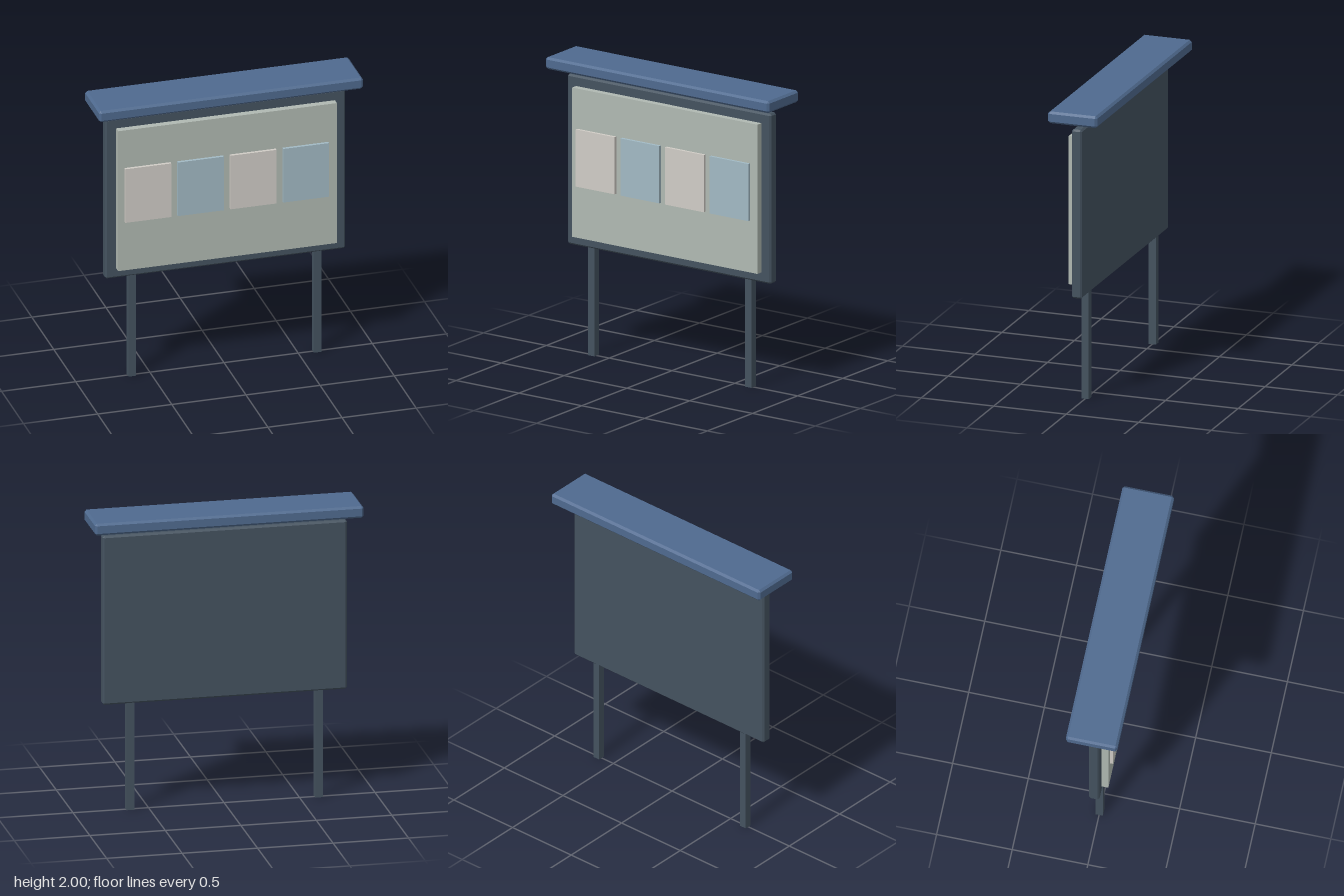
import * as THREE from 'three';
import { ConvexGeometry } from 'three/addons/geometries/ConvexGeometry.js';

const material = (color) => new THREE.MeshStandardMaterial({ color, flatShading: true });

// Box whose edges and corners are cut flat by c
function chamferedBox(w, h, d, c) {
  const points = [];
  for (const sx of [-1, 1]) for (const sy of [-1, 1]) for (const sz of [-1, 1]) {
    const [x, y, z] = [w / 2, h / 2, d / 2];
    for (const [px, py, pz] of [[x, y - c, z - c], [x - c, y, z - c], [x - c, y - c, z]]) {
      points.push(new THREE.Vector3(sx * px, sy * py, sz * pz));
    }
  }
  return new ConvexGeometry(points);
}

export function createModel() {
  const model = new THREE.Group();
  const frameColor = material(0x44525f);
  const roofColor = material(0x4f6a8f);
  const panelColor = material(0xb0b9b2);
  const noticeColors = [material(0xd0ccc6), material(0xa2bac4)];

  function add(name, geometry, mat, x, y, z) {
    const mesh = new THREE.Mesh(geometry, mat);
    mesh.name = name;
    mesh.position.set(x, y, z);
    model.add(mesh);
  }

  // Two square posts
  for (const [name, side] of [['leftPost', 1], ['rightPost', -1]]) {
    add(name, new THREE.BoxGeometry(0.05, 0.74, 0.05), frameColor, side * 0.625, 0.37, 0);
  }

  // Backing board with bevelled edges, and the roof floating above it
  add('backBoard', chamferedBox(1.62, 1.145, 0.07, 0.012), frameColor, 0, 1.2975, 0);
  add('roof', chamferedBox(1.78, 0.08, 0.34, 0.014), roofColor, 0, 1.96, 0);

  // Raised display panel
  add('displayPanel', new THREE.BoxGeometry(1.475, 1.005, 0.045), panelColor, 0, 1.2975, 0.0575);

  // Row of pinned notices in alternating colours
  for (let i = 0; i < 4; i++) {
    add(`notice${i + 1}`, new THREE.BoxGeometry(0.31, 0.385, 0.02), noticeColors[i % 2],
      -0.54 + i * 0.355, 1.3375, 0.09);
  }

  return model;
}
